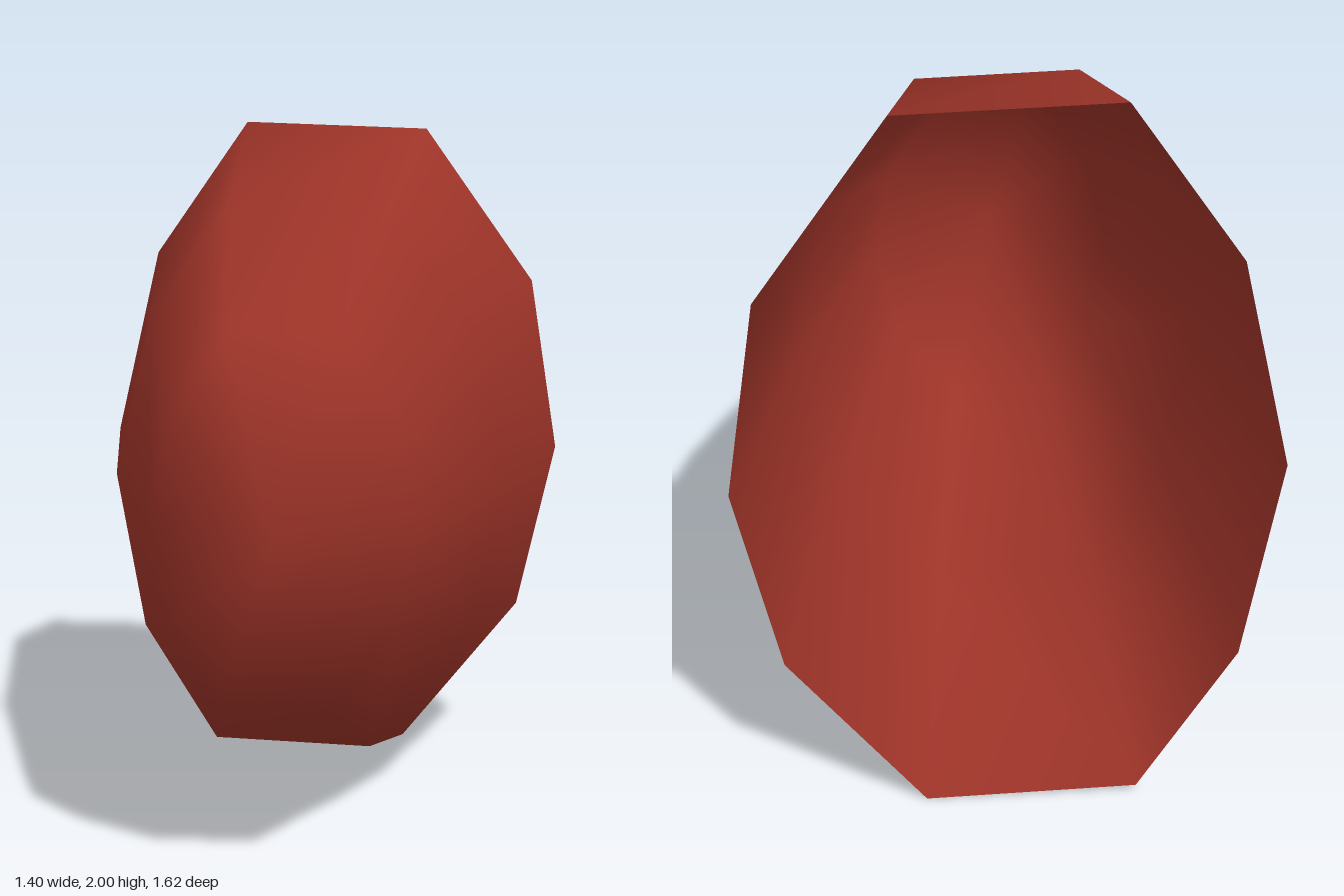
import * as THREE from 'three';

export function createModel() {
  const group = new THREE.Group();
  const red = new THREE.MeshStandardMaterial({ color: 0x9c3328, side: THREE.DoubleSide });
  red.name = 'brick red';

  // Ten-sided rim outline, measured from the centre axis (x, y)
  const rim = [
    [0.70, -0.02], [0.615, 0.51], [0.28, 0.98], [-0.28, 1.0], [-0.57, 0.59],
    [-0.705, 0.02], [-0.61, -0.55], [-0.35, -0.98], [0.22, -1.0], [0.585, -0.54],
  ];
  // Rings from the open back to the nose: [scale, z]
  const rings = [[1, -0.79], [0.79, -0.02], [0.5, 0.57]];
  const n = rim.length;

  const positions = [];
  for (const [s, z] of rings) {
    for (const [x, y] of rim) {
      // the rings lean slightly
      positions.push(x * s, 1 + y * s, z + 0.02 * y - 0.02 * x);
    }
  }
  positions.push(0, 0.99, 0.81); // nose
  const nose = rings.length * n;

  const index = [];
  for (let i = 0; i < n; i++) {
    const j = (i + 1) % n;
    for (let r = 0; r < rings.length - 1; r++) {
      const a = r * n + i, b = r * n + j;
      index.push(a, b, b + n, a, b + n, a + n);
    }
    const last = (rings.length - 1) * n;
    index.push(last + i, last + j, nose);
  }

  const geometry = new THREE.BufferGeometry();
  geometry.setAttribute('position', new THREE.Float32BufferAttribute(positions, 3));
  geometry.setIndex(index);
  geometry.computeVertexNormals();

  // Hollow pointed shell, open at the back
  const shell = new THREE.Mesh(geometry, red);
  shell.name = 'shell';
  group.add(shell);
  return group;
}
